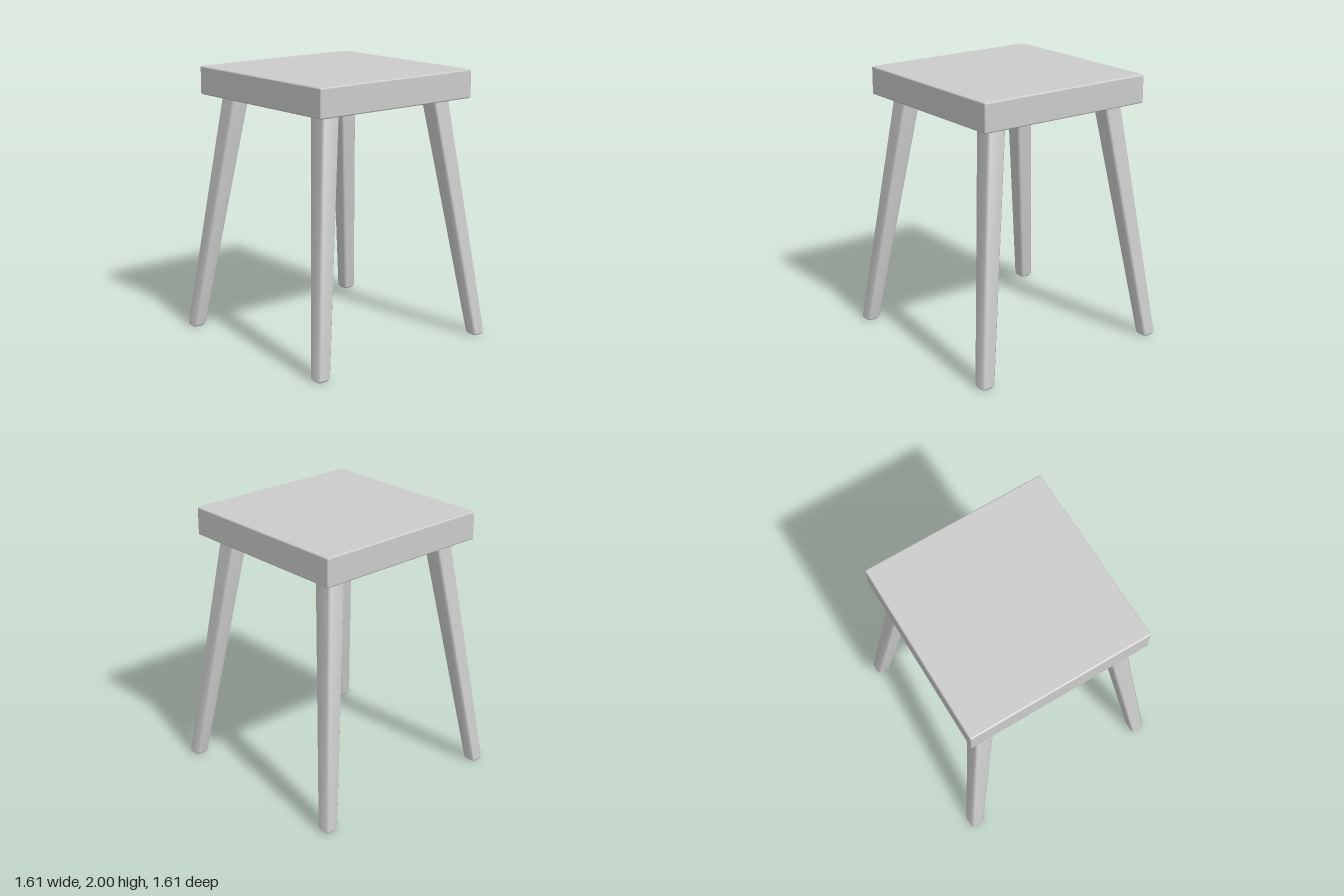
import * as THREE from 'three';
import { RoundedBoxGeometry } from 'three/addons/geometries/RoundedBoxGeometry.js';

const material = new THREE.MeshStandardMaterial({ color: 0xcccccc });

// Splayed, tapered square leg with softened edges, lofted through chamfered squares.
function legGeometry() {
  // each section: height, centre offset on x and z, half width, corner chamfer
  const sections = [
    [0, 0.752, 0.038, 0.01],
    [0.018, 0.75, 0.053, 0.015],
    [1.8, 0.513, 0.074, 0.015],
  ];
  const positions = [];
  const index = [];
  for (const [y, c, h, k] of sections) {
    for (let i = 0; i < 4; i++) {
      const a = i * Math.PI / 2, cos = Math.cos(a), sin = Math.sin(a);
      for (const [u, v] of [[h, h - k], [h - k, h]]) {
        positions.push(c + u * cos - v * sin, y, c + u * sin + v * cos);
      }
    }
  }
  // side walls
  for (let s = 0; s < sections.length - 1; s++) {
    for (let i = 0; i < 8; i++) {
      const j = (i + 1) % 8, a = s * 8 + i, b = s * 8 + j;
      index.push(a, a + 8, b, b, a + 8, b + 8);
    }
  }
  // end caps
  const top = (sections.length - 1) * 8;
  for (let i = 1; i < 7; i++) {
    index.push(0, i, i + 1, top, top + i + 1, top + i);
  }
  const geometry = new THREE.BufferGeometry();
  geometry.setAttribute('position', new THREE.Float32BufferAttribute(positions, 3));
  geometry.setIndex(index);
  geometry.computeVertexNormals();
  return geometry;
}

export function createModel() {
  const stool = new THREE.Group();
  stool.name = 'stool';

  // thick square seat with lightly rounded edges
  const seat = new THREE.Mesh(new RoundedBoxGeometry(1.4, 0.21, 1.4, 2, 0.012), material);
  seat.name = 'seat';
  seat.position.y = 1.895;
  stool.add(seat);

  // four legs, one per corner
  const geometry = legGeometry();
  ['frontLeftLeg', 'backLeftLeg', 'backRightLeg', 'frontRightLeg'].forEach((name, i) => {
    const leg = new THREE.Mesh(geometry, material);
    leg.name = name;
    leg.rotation.y = i * Math.PI / 2;
    stool.add(leg);
  });
  return stool;
}
